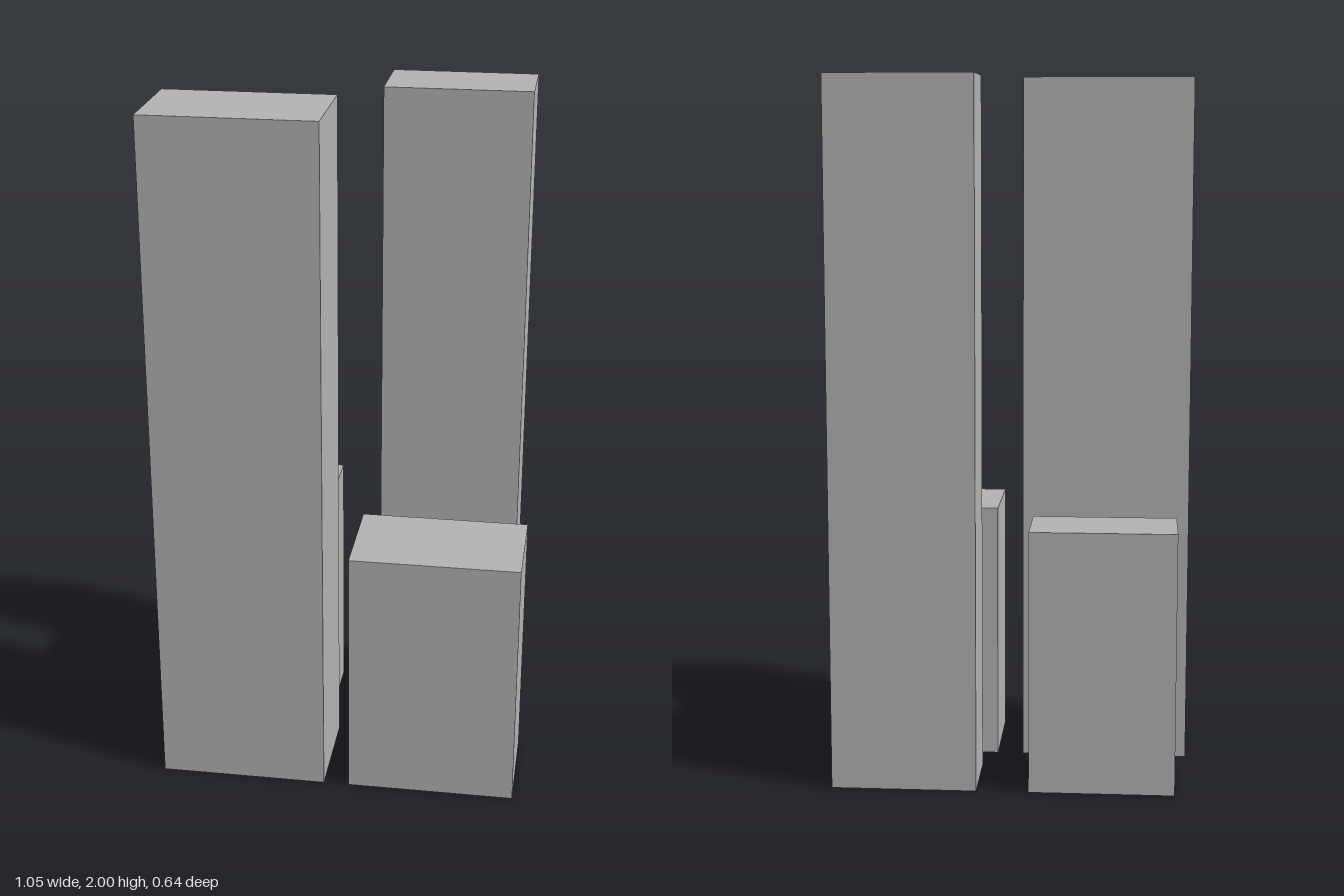
import * as THREE from 'three';

export function createModel() {
  const model = new THREE.Group();
  const grey = new THREE.MeshStandardMaterial({ color: 0xb2b2b2 });
  grey.name = 'grey';

  // A square-edged block standing on the ground
  function block(name, width, height, depth, x, z) {
    const mesh = new THREE.Mesh(new THREE.BoxGeometry(width, height, depth), grey);
    mesh.name = name;
    mesh.position.set(x, height / 2, z);
    model.add(mesh);
  }

  const tall = 2, short = 0.75;

  // Wider front pair: tall on the right, short on the left
  block('frontRightTower', 0.486, tall, 0.302, -0.28, 0.167);
  block('frontLeftBlock', 0.486, short, 0.302, 0.28, 0.167);

  // Narrower back pair, with the heights swapped
  block('backRightBlock', 0.412, short, 0.224, -0.28, -0.208);
  block('backLeftTower', 0.412, tall, 0.224, 0.28, -0.208);

  return model;
}
